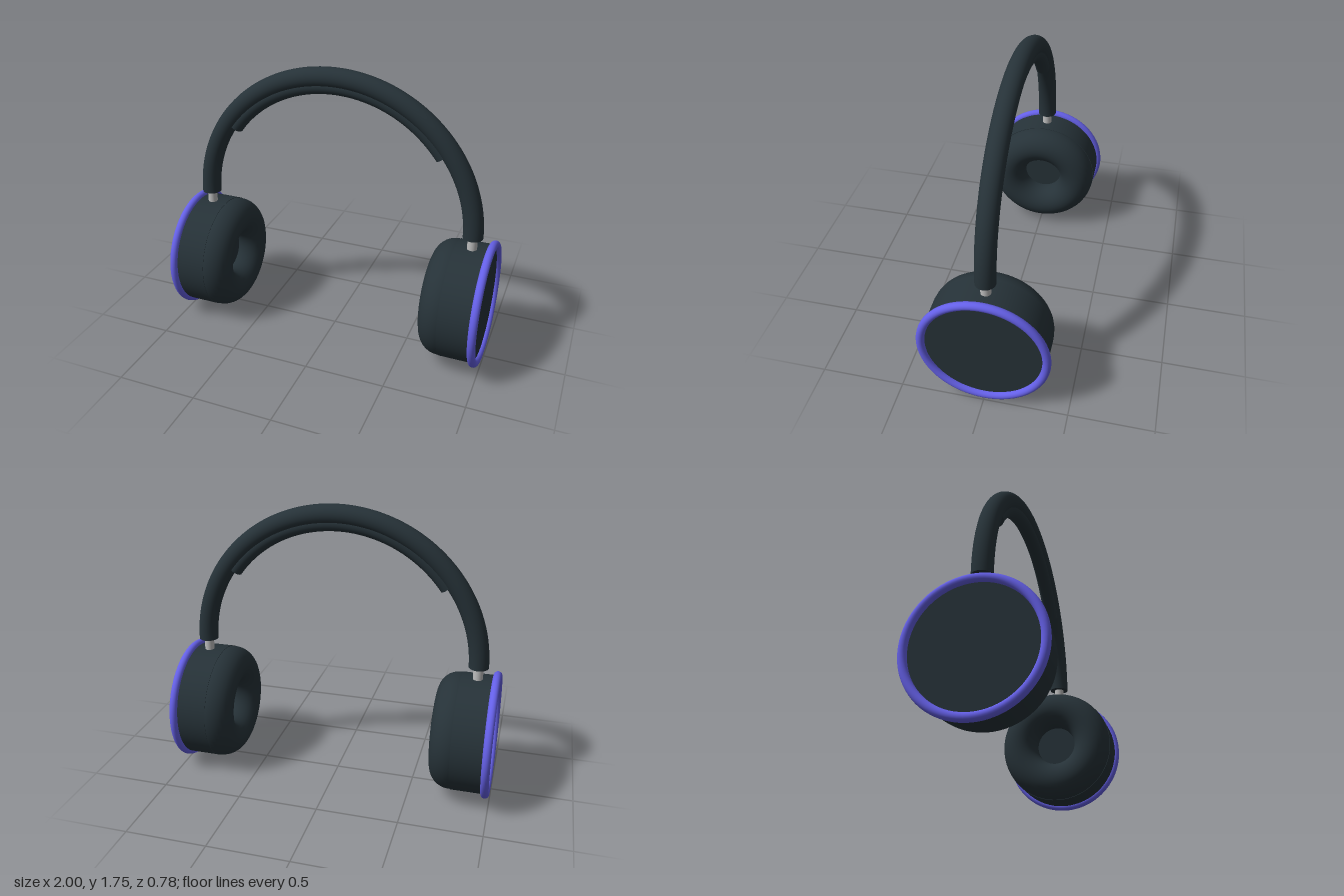
import * as THREE from 'three';

const makeMaterial = (name, color) => {
  const m = new THREE.MeshStandardMaterial({ color });
  m.name = name;
  return m;
};

export function createModel() {
  const dark = makeMaterial('charcoal', 0x263238);
  const violet = makeMaterial('violet', 0x6863ee);
  const metal = makeMaterial('silver', 0xbdbdbd);

  const model = new THREE.Group();
  model.name = 'headphones';

  const add = (parent, name, geometry, material) => {
    const mesh = new THREE.Mesh(geometry, material);
    mesh.name = name;
    parent.add(mesh);
    return mesh;
  };

  // Round tube bent along an arc symmetric about the top, with closed ends
  const addArc = (name, radius, tube, arc) => {
    const group = new THREE.Group();
    group.name = name;
    group.position.y = 0.83;
    const start = (Math.PI - arc) / 2;
    add(group, name + 'Tube', new THREE.TorusGeometry(radius, tube, 32, 96, arc).rotateZ(start), dark);
    for (const [angle, turn] of [[start, Math.PI / 2], [start + arc, -Math.PI / 2]]) {
      const cap = new THREE.CircleGeometry(tube, 32).rotateX(turn).translate(radius, 0, 0).rotateZ(angle);
      add(group, name + 'End', cap, dark);
    }
    model.add(group);
  };

  addArc('headband', 0.865, 0.06, Math.PI);
  addArc('headbandPad', 0.81, 0.045, Math.PI * 0.6);

  // Ear cups, built along x and placed on both sides
  for (const side of [1, -1]) {
    const cup = new THREE.Group();
    cup.name = side > 0 ? 'leftEarCup' : 'rightEarCup';
    cup.position.y = 0.39;

    const shell = add(cup, 'cupShell', new THREE.CylinderGeometry(0.365, 0.365, 0.21, 64), dark);
    shell.rotation.z = Math.PI / 2;
    shell.position.x = side * 0.87;

    const rim = add(cup, 'accentRim', new THREE.TorusGeometry(0.365, 0.025, 20, 80), violet);
    rim.rotation.y = Math.PI / 2;
    rim.position.x = side * 0.975;

    // Soft ring, slightly deeper than it is thick
    const cushionShape = new THREE.TorusGeometry(0.245, 0.118, 32, 80).scale(1, 1, 1.06);
    const cushion = add(cup, 'earCushion', cushionShape, dark);
    cushion.rotation.y = Math.PI / 2;
    cushion.position.x = side * 0.753;

    const post = add(cup, 'sliderPost', new THREE.CylinderGeometry(0.03, 0.03, 0.16, 24), metal);
    post.position.set(side * 0.865, 0.39, 0);

    model.add(cup);
  }

  return model;
}
